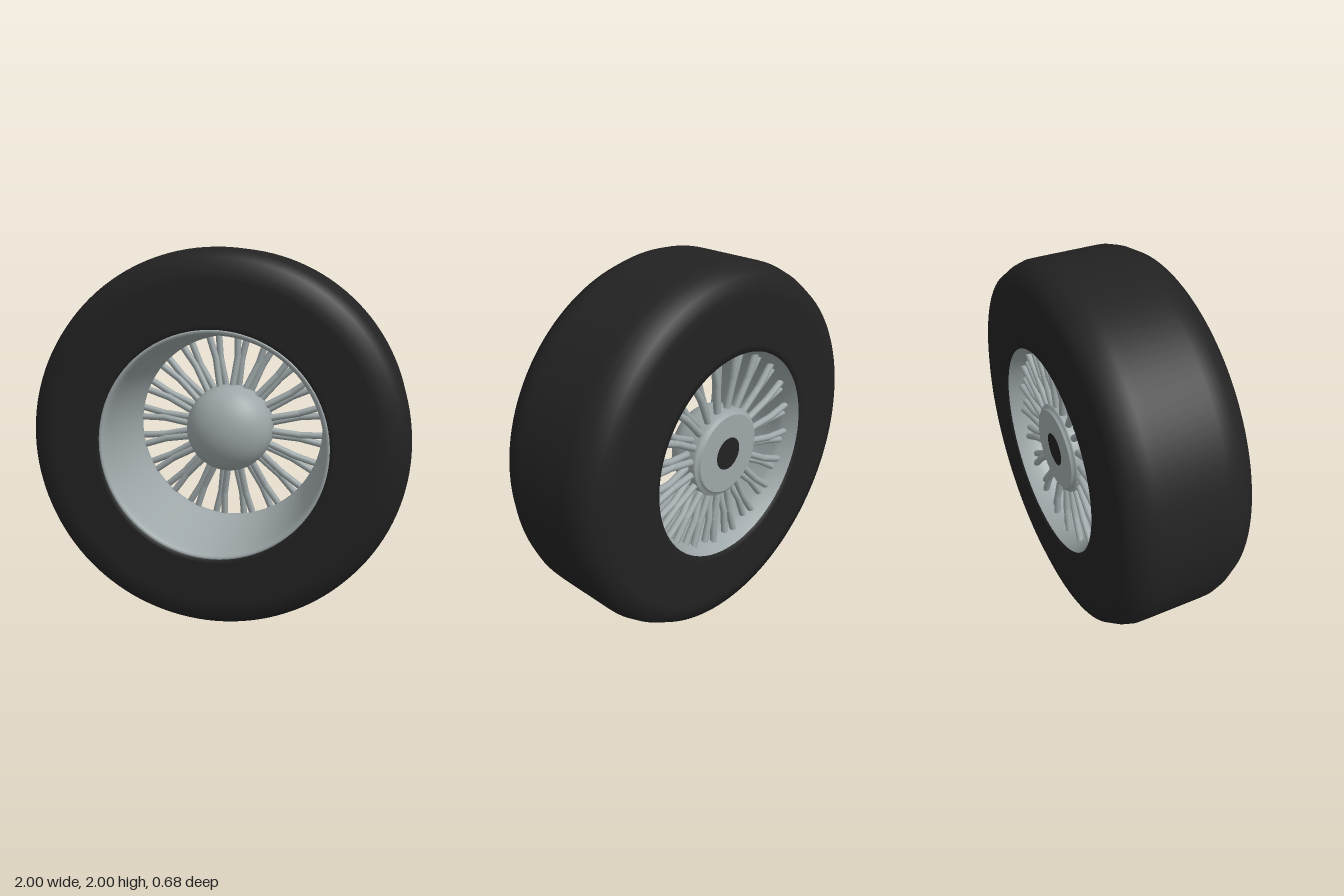
import * as THREE from 'three';

const rubber = new THREE.MeshStandardMaterial({ color: 0x222222, side: THREE.DoubleSide });
rubber.name = 'black rubber';
const metal = new THREE.MeshStandardMaterial({ color: 0x9ea7a9, side: THREE.DoubleSide });
metal.name = 'grey metal';

// Solid of revolution about the axle (z); profile is [radius, z], from back to front
function turned(name, profile, material, segments = 96) {
  const points = profile.map(([r, z]) => new THREE.Vector2(r, z));
  const geometry = new THREE.LatheGeometry(points, segments);
  geometry.rotateX(Math.PI / 2);
  const mesh = new THREE.Mesh(geometry, material);
  mesh.name = name;
  return mesh;
}

// Point on the wheel from radius, angle and depth
const polar = (r, a, z) => new THREE.Vector3(r * Math.cos(a), r * Math.sin(a), z);

// Bent round rod made of straight pieces with a ball at the bend
function rod(name, points, radius) {
  const group = new THREE.Group();
  group.name = name;
  for (let i = 0; i + 1 < points.length; i++) {
    const line = new THREE.LineCurve3(points[i], points[i + 1]);
    group.add(new THREE.Mesh(new THREE.TubeGeometry(line, 1, radius, 10), metal));
    if (i > 0) {
      const bend = new THREE.Mesh(new THREE.SphereGeometry(radius, 10, 8), metal);
      bend.position.copy(points[i]);
      group.add(bend);
    }
  }
  return group;
}

export function createModel() {
  const model = new THREE.Group();
  model.name = 'wheel';
  const wheel = new THREE.Group();
  wheel.name = 'wheelAssembly';
  wheel.position.y = 1;
  model.add(wheel);

  // Tyre with flat sidewalls, rounded shoulders and a smooth tread
  wheel.add(turned('tyre', [
    [0.56, -0.31], [0.565, -0.337], [0.6, -0.338], [0.84, -0.338], [0.88, -0.336],
    [0.95, -0.315], [0.985, -0.25], [0.999, -0.2], [1, -0.16], [1, 0.16],
    [0.999, 0.2], [0.985, 0.25], [0.95, 0.315], [0.88, 0.336], [0.84, 0.338],
    [0.62, 0.338], [0.59, 0.337], [0.585, 0.31],
  ], rubber, 128));

  // Rim barrel, narrowing to the spoke seat and flaring again at the back
  wheel.add(turned('rimBarrel', [
    [0.566, -0.335], [0.56, -0.325], [0.545, -0.29], [0.53, -0.25], [0.526, -0.22],
    [0.53, -0.17], [0.55, 0.08], [0.566, 0.27], [0.575, 0.32],
  ], metal));
  wheel.add(turned('rimLip', [
    [0.566, 0.28], [0.572, 0.318], [0.58, 0.336], [0.589, 0.342], [0.597, 0.34], [0.601, 0.33],
  ].reverse(), metal));

  // Hub drum with a stepped back face
  wheel.add(turned('hubDrum', [
    [0.215, -0.288], [0.222, -0.285], [0.225, -0.272], [0.24, -0.272], [0.246, -0.262],
    [0.246, -0.2], [0.24, -0.16],
  ], metal, 64));
  const plate = new THREE.Mesh(new THREE.RingGeometry(0.09, 0.217, 64), metal);
  plate.name = 'hubBackPlate';
  plate.rotation.y = Math.PI;
  plate.position.z = -0.288;
  wheel.add(plate);
  const bore = new THREE.Mesh(new THREE.CircleGeometry(0.092, 48), rubber);
  bore.name = 'axleBore';
  bore.rotation.y = Math.PI;
  bore.position.z = -0.286;
  wheel.add(bore);

  // Domed hub cap on the front
  const dome = [];
  for (let i = 0; i <= 14; i++) {
    const t = (i / 14) * Math.PI / 2;
    dome.push([0.243 * Math.cos(t), -0.17 + 0.18 * Math.sin(t)]);
  }
  wheel.add(turned('hubCap', dome, metal, 64));

  // Twenty pairs of bent rods that meet at a waist and fork at both ends
  const deg = Math.PI / 180;
  const spokes = new THREE.Group();
  spokes.name = 'spokes';
  for (let i = 0; i < 20; i++) {
    const a = (11 + i * 18) * deg;
    for (const s of [-1, 1]) {
      spokes.add(rod('spoke', [
        polar(0.21, a + s * 4.5 * deg, -0.225 + s * 0.018),
        polar(0.4, a + s * 1.7 * deg, -0.245 + s * 0.008),
        polar(0.545, a + s * 3 * deg, -0.25 + s * 0.008),
      ], 0.019));
    }
  }
  wheel.add(spokes);
  return model;
}
